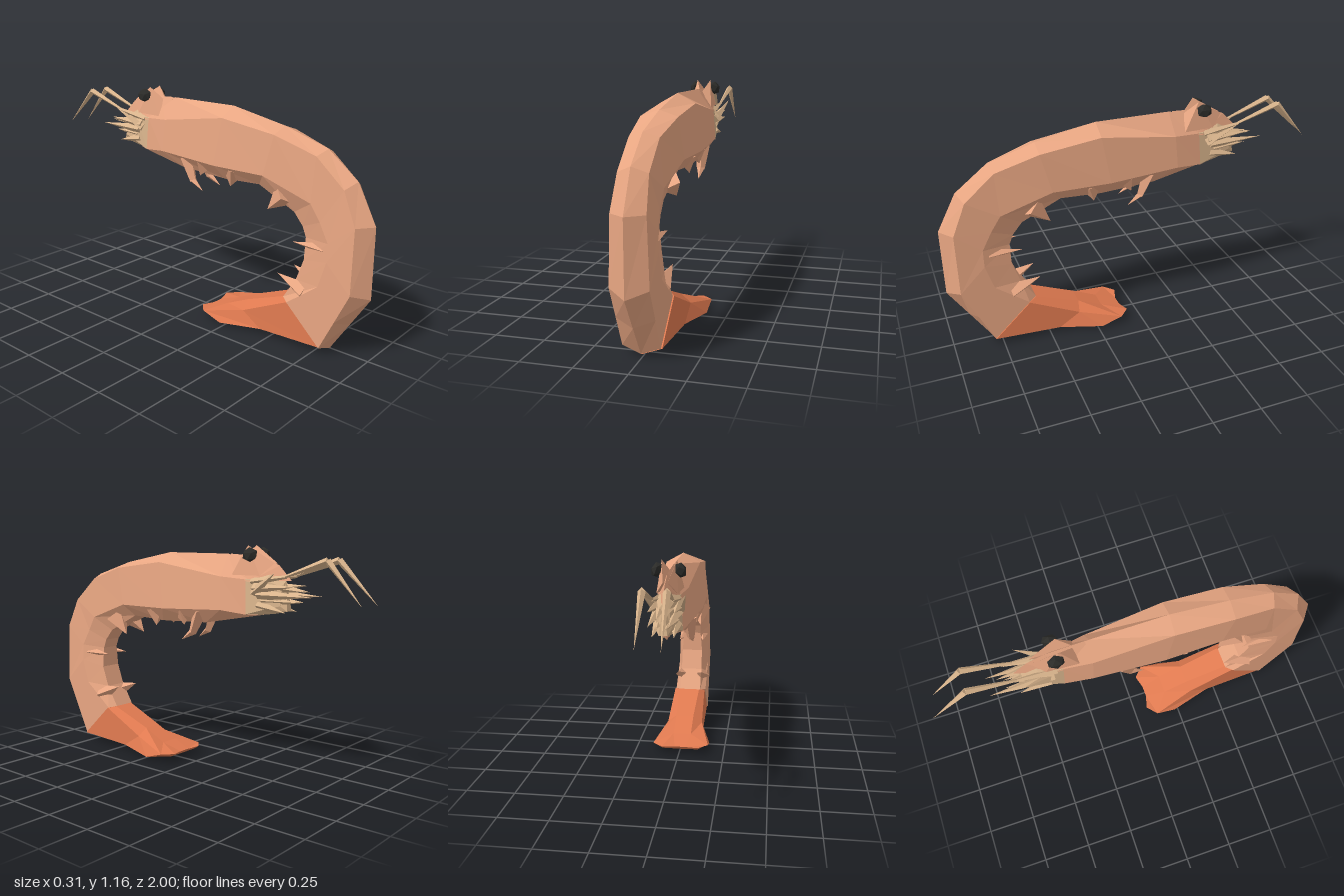
import * as THREE from 'three';
import { ConvexGeometry } from 'three/addons/geometries/ConvexGeometry.js';

const mat = (color) => new THREE.MeshStandardMaterial({ color, flatShading: true });
const shell = mat(0xe8a682), orange = mat(0xe07a50), tan = mat(0xd9b48c), dark = mat(0x2b2b28);
const V = (x, y, z) => new THREE.Vector3(x, y, z);

function add(parent, name, geo, material) {
  const m = new THREE.Mesh(geo, material);
  m.name = name;
  parent.add(m);
  return m;
}

// Loft of seven-sided sections. A section is
// [ridgeZ, ridgeY, shoulderW, z, y, flankW, z, y, bellyW, z, y]
function loft(sections) {
  const pos = [], idx = [], n = 7;
  for (const [rz, ry, sw, sz, sy, fw, fz, fy, bw, bz, by] of sections) {
    pos.push(0, ry, rz, sw, sy, sz, fw, fy, fz, bw, by, bz);
    pos.push(-bw, by, bz, -fw, fy, fz, -sw, sy, sz);
  }
  for (let s = 0; s < sections.length - 1; s++) {
    for (let i = 0; i < n; i++) {
      const a = s * n + i, b = s * n + (i + 1) % n;
      idx.push(a, a + n, b, b, a + n, b + n);
    }
  }
  const e = (sections.length - 1) * n;
  for (let i = 1; i < n - 1; i++) idx.push(0, i, i + 1, e, e + i + 1, e + i);
  const g = new THREE.BufferGeometry();
  g.setAttribute('position', new THREE.Float32BufferAttribute(pos, 3));
  g.setIndex(idx);
  const flat = g.toNonIndexed();
  flat.computeVertexNormals();
  return flat;
}

// Tapered rod between two points
function rod(a, b, r0, r1, sides = 4) {
  const d = b.clone().sub(a);
  const g = new THREE.CylinderGeometry(r1, r0, d.length(), sides);
  g.applyQuaternion(new THREE.Quaternion().setFromUnitVectors(V(0, 1, 0), d.normalize()));
  const c = a.clone().add(b).multiplyScalar(0.5);
  return g.translate(c.x, c.y, c.z);
}

export function createModel() {
  const root = new THREE.Group();
  root.name = 'shrimp';
  const body = new THREE.Group();
  body.name = 'bodyGroup';
  body.position.x = -0.012;
  root.add(body);

  // Curled shell, from behind the head round to the tail
  const tailRoot = [0.8, 0.01, 0.09, 0.79, 0.04, 0.09, 0.6, 0.22, 0.06, 0.56, 0.23];
  add(body, 'shell', loft([
    [-0.3, 1.1, 0.055, -0.35, 1.0, 0.065, -0.36, 0.83, 0.03, -0.43, 0.83],
    [-0.2, 1.12, 0.075, -0.21, 1.01, 0.09, -0.22, 0.845, 0.05, -0.1, 0.77],
    [0.19, 1.12, 0.09, 0.19, 1.07, 0.11, 0.15, 0.83, 0.06, 0.19, 0.76],
    [0.5, 1.06, 0.09, 0.5, 1.03, 0.105, 0.45, 0.83, 0.06, 0.4, 0.77],
    [0.74, 0.985, 0.07, 0.72, 0.96, 0.085, 0.71, 0.74, 0.05, 0.6, 0.67],
    [0.9, 0.86, 0.07, 0.87, 0.83, 0.08, 0.76, 0.66, 0.05, 0.65, 0.61],
    [1.0, 0.67, 0.08, 0.94, 0.67, 0.085, 0.81, 0.57, 0.05, 0.67, 0.56],
    [1.0, 0.32, 0.09, 0.94, 0.35, 0.09, 0.81, 0.48, 0.06, 0.67, 0.45],
    [0.9, 0.165, 0.09, 0.865, 0.195, 0.09, 0.77, 0.35, 0.06, 0.63, 0.34],
    tailRoot,
  ]), shell);

  // Tail fan
  const tail = add(root, 'tailFan', loft([
    tailRoot,
    [0.45, 0.005, 0.1, 0.45, 0.03, 0.1, 0.34, 0.1, 0.05, 0.33, 0.14],
    [0.19, 0.003, 0.155, 0.23, 0.015, 0.155, 0.12, 0.05, 0.05, 0.2, 0.08],
    [0.12, 0.02, 0.1, 0.1, 0.03, 0.1, 0.07, 0.05, 0.03, 0.09, 0.045],
  ]), orange);
  tail.position.x = -0.006;

  // Face, tapering forward from the shell
  add(body, 'face', loft([
    [-0.55, 1.0, 0.025, -0.54, 0.97, 0.035, -0.54, 0.88, 0.02, -0.57, 0.855],
    [-0.48, 1.05, 0.045, -0.46, 1.0, 0.05, -0.46, 0.86, 0.02, -0.5, 0.84],
    [-0.34, 1.06, 0.055, -0.35, 1.0, 0.065, -0.355, 0.83, 0.03, -0.42, 0.83],
  ]), tan);

  // Beak over the face
  add(body, 'rostrum', new ConvexGeometry([
    V(0, 1.12, -0.22), V(0, 1.11, -0.42), V(0, 1.0, -0.58), V(0, 1.07, -0.51),
    V(0.06, 1.01, -0.22), V(-0.06, 1.01, -0.22), V(0.056, 0.99, -0.37), V(-0.056, 0.99, -0.37),
  ]), shell);

  // Swimming legs: base centre z, y; tip z, y; radius
  const spikes = [
    [0.24, 0.81, 0.23, 0.73, 0.06], [0.55, 0.75, 0.46, 0.66, 0.065],
    [0.78, 0.53, 0.61, 0.53, 0.03], [0.68, 0.29, 0.53, 0.35, 0.05],
    [0.05, 0.81, 0.03, 0.75, 0.05],
  ];
  // Mouthparts: x, y, z of base, then of tip
  const feelers = [
    [0.045, 0.93, -0.42, 0.045, 0.93, -0.72], [0.03, 0.9, -0.44, 0.02, 0.9, -0.64],
    [0.05, 0.96, -0.4, 0.06, 0.975, -0.63], [0.05, 0.94, -0.4, 0.1, 1.04, -0.55],
    [0.04, 0.88, -0.42, 0.05, 0.85, -0.58], [0.02, 0.97, -0.45, 0.015, 0.95, -0.67],
  ];

  for (const s of [1, -1]) {
    const P = (x, y, z) => V(s * x, y, z);

    for (const [z, y, tz, ty, r] of spikes)
      add(body, 'swimmingLeg', rod(P(0.055, y, z), P(0.07, ty, tz), r, 0), shell);

    // Bent walking leg
    add(body, 'walkingLegUpper', rod(P(0.06, 0.83, -0.07), P(0.065, 0.71, -0.02), 0.04, 0.02), shell);
    add(body, 'walkingLegLower', rod(P(0.065, 0.72, -0.025), P(0.07, 0.67, 0.05), 0.02, 0), shell);

    for (const [x, y, z, tx, ty, tz] of feelers)
      add(body, 'mouthpart', rod(P(x, y, z), P(tx, ty, tz), 0.028, 0), tan);

    // Antenna, bent at its highest point
    add(body, 'antennaBase', rod(P(0.045, 0.99, -0.38), P(0.045, 1.02, -0.58), 0.018, 0.008), tan);
    add(body, 'antennaUpper', rod(P(0.045, 1.02, -0.57), P(0.052, 1.1, -0.8), 0.007, 0.017), tan);
    const tipZ = s > 0 ? -0.98 : -1.0;
    add(body, 'antennaTip', rod(P(0.052, 1.1, -0.8), P(0.055, 0.9, tipZ), 0.017, 0), tan);

    // Eye on a peaked stalk
    add(body, 'eyeStalk', new ConvexGeometry([
      P(0.005, 1.1, -0.28), P(0.06, 1.02, -0.27), P(0.036, 1.163, -0.35),
      P(0.012, 1.08, -0.49), P(0.05, 1.02, -0.43), P(0.005, 1.03, -0.35),
    ]), shell);
    const eye = add(body, 'eye', new THREE.IcosahedronGeometry(0.042, 0), dark);
    eye.scale.set(0.65, 0.9, 1.05);
    eye.rotation.z = s * 0.35;
    eye.position.set(s * 0.056, 1.12, -0.375);
  }
  return root;
}
